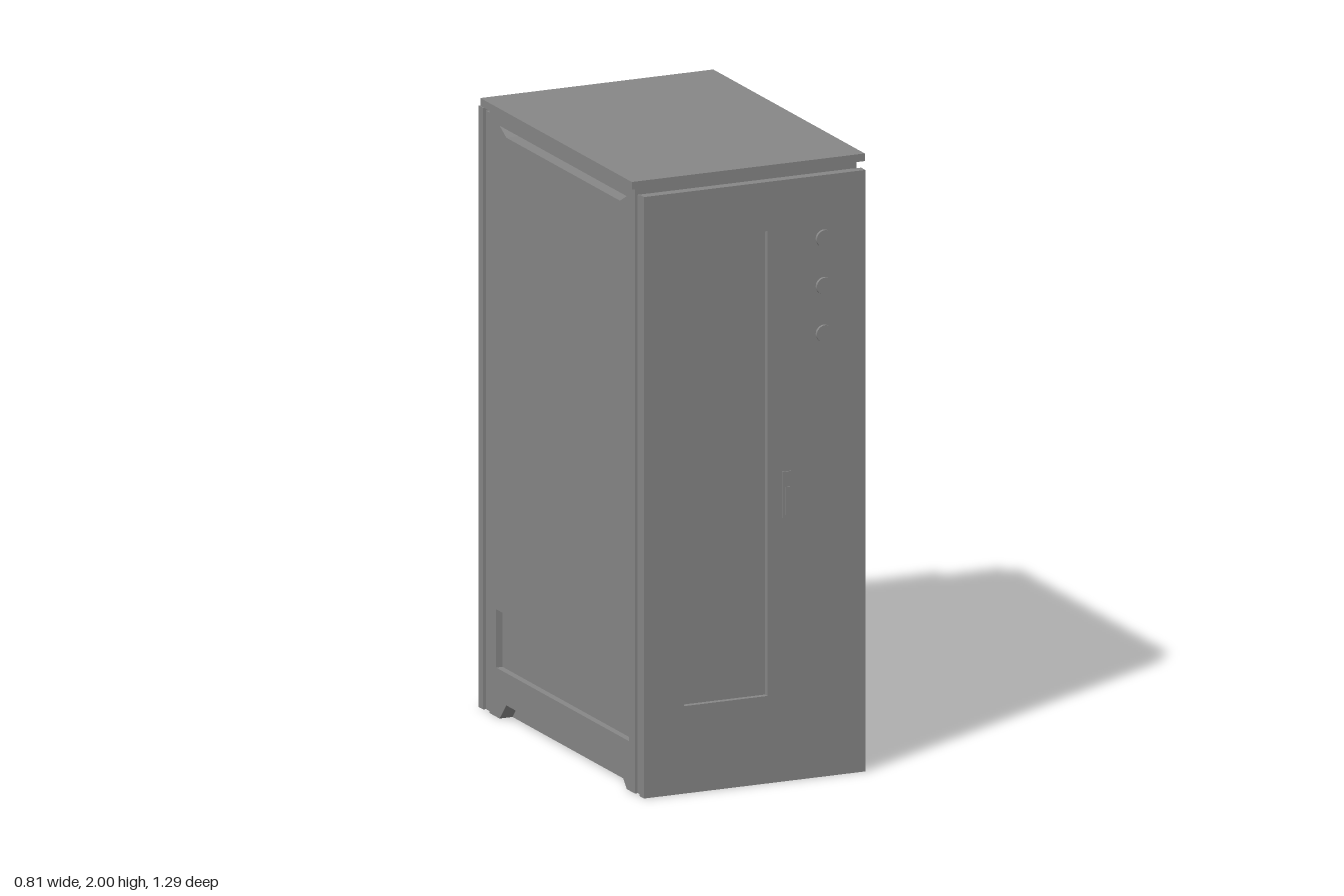
import * as THREE from 'three';

const material = new THREE.MeshStandardMaterial({ color: 0x878787 });

// Corner list of a rectangle
const rect = (x0, x1, y0, y1) => [[x0, y0], [x1, y0], [x1, y1], [x0, y1]];
const toVectors = (pts) => pts.map(([x, y]) => new THREE.Vector2(x, y));

// Flat plate from an outline with cut-outs, extruded from z0 to z1
function plateGeometry(outline, holes, z0, z1) {
  const shape = new THREE.Shape(toVectors(outline));
  holes.forEach((h) => shape.holes.push(new THREE.Path(toVectors(h))));
  const geo = new THREE.ExtrudeGeometry(shape, { depth: z1 - z0, bevelEnabled: false, curveSegments: 1 });
  return geo.translate(0, 0, z0);
}

export function createModel() {
  const model = new THREE.Group();
  model.name = 'cabinet';

  const add = (name, geo, parent = model) => {
    const mesh = new THREE.Mesh(geo, material);
    mesh.name = name;
    parent.add(mesh);
  };
  const box = (name, x0, x1, y0, y1, z0, z1, parent) => add(name,
    new THREE.BoxGeometry(x1 - x0, y1 - y0, z1 - z0)
      .translate((x0 + x1) / 2, (y0 + y1) / 2, (z0 + z1) / 2), parent);

  // Core, with a deep hollow below it, and lid
  box('core', -0.32, 0.32, 0.14, 1.975, -0.505, 0.57);
  box('lid', -0.405, 0.405, 1.975, 2, -0.53, 0.59);

  // Side walls, layered so that panels, window, finger slots and the foot arch are sunk in
  const slot = [[-0.43, 1.932], [0.51, 1.932], [0.46, 1.905], [-0.38, 1.905]];
  const arched = [[-0.505, 0], [-0.43, 0], [-0.38, 0.055], [0.46, 0.055],
    [0.51, 0], [0.57, 0], [0.57, 1.975], [-0.505, 1.975]];
  const full = rect(-0.505, 0.57, 0, 1.975);
  const sides = [
    { name: 'leftSide', sign: 1, panel: rect(-0.455, 0.527, 0.16, 1.853), window: [rect(-0.375, 0.453, 1.35, 1.677)] },
    { name: 'rightSide', sign: -1, panel: rect(-0.455, 0.527, 0.16, 0.35), window: [] },
  ];
  for (const { name, sign, panel, window: windowHoles } of sides) {
    const side = new THREE.Group();
    side.name = name;
    model.add(side);
    const flip = (pts) => pts.map(([z, y]) => [-sign * z, y]);
    const layer = (label, outline, holes, a, b) => add(label,
      plateGeometry(flip(outline), holes.map(flip), a, b).rotateY(sign * Math.PI / 2), side);
    layer('outerFrame', arched, [panel, slot], 0.363, 0.385);
    layer('sunkPanel', arched, [...windowHoles, slot], 0.34, 0.363);
    layer('innerWall', full, [], 0.315, 0.34);
  }

  // Recessed seams behind the door and the back frame
  box('frontSeam', -0.375, 0.375, 0, 1.95, 0.57, 0.608);
  box('backSeam', -0.375, 0.375, 0, 1.95, -0.553, -0.505);

  // Front door with a long sunk panel
  const door = new THREE.Group();
  door.name = 'frontDoor';
  model.add(door);
  const face = rect(-0.385, 0.385, 0, 1.96);
  add('doorBase', plateGeometry(face, [], 0.606, 0.618), door);
  add('doorFrame', plateGeometry(face, [rect(-0.245, 0.045, 0.285, 1.8)], 0.618, 0.637), door);

  // Round buttons
  for (const y of [1.445, 1.6, 1.755]) {
    add('button', new THREE.CylinderGeometry(0.028, 0.028, 0.012, 32)
      .rotateX(Math.PI / 2).translate(0.24, y, 0.641), door);
  }

  // Door handle: thin mount with a raised lever
  box('handleMount', 0.095, 0.125, 0.86, 1.01, 0.635, 0.641, door);
  box('handleLever', 0.105, 0.12, 0.87, 0.96, 0.635, 0.645, door);

  // Back frame with a narrow sunk panel
  add('backBase', plateGeometry(face, [], -0.567, -0.551));
  add('backFrame', plateGeometry(face, [rect(0.2, 0.345, 0.11, 1.725)], -0.585, -0.567));

  // Rear unit: neck, base plate and frame with two windows and a channel
  const rear = new THREE.Group();
  rear.name = 'rearUnit';
  model.add(rear);
  const plate = rect(-0.345, 0.225, 0.055, 1.905);
  box('neck', -0.24, 0.165, 0.055, 1.905, -0.606, -0.585, rear);
  add('rearBase', plateGeometry(plate, [], -0.627, -0.605), rear);
  add('rearFrame', plateGeometry(plate, [
    rect(-0.225, 0.155, 1.31, 1.875),
    rect(-0.225, 0.155, 0.12, 1.26),
    rect(-0.33, -0.265, 0.08, 1.88),
  ], -0.647, -0.627), rear);

  return model;
}
